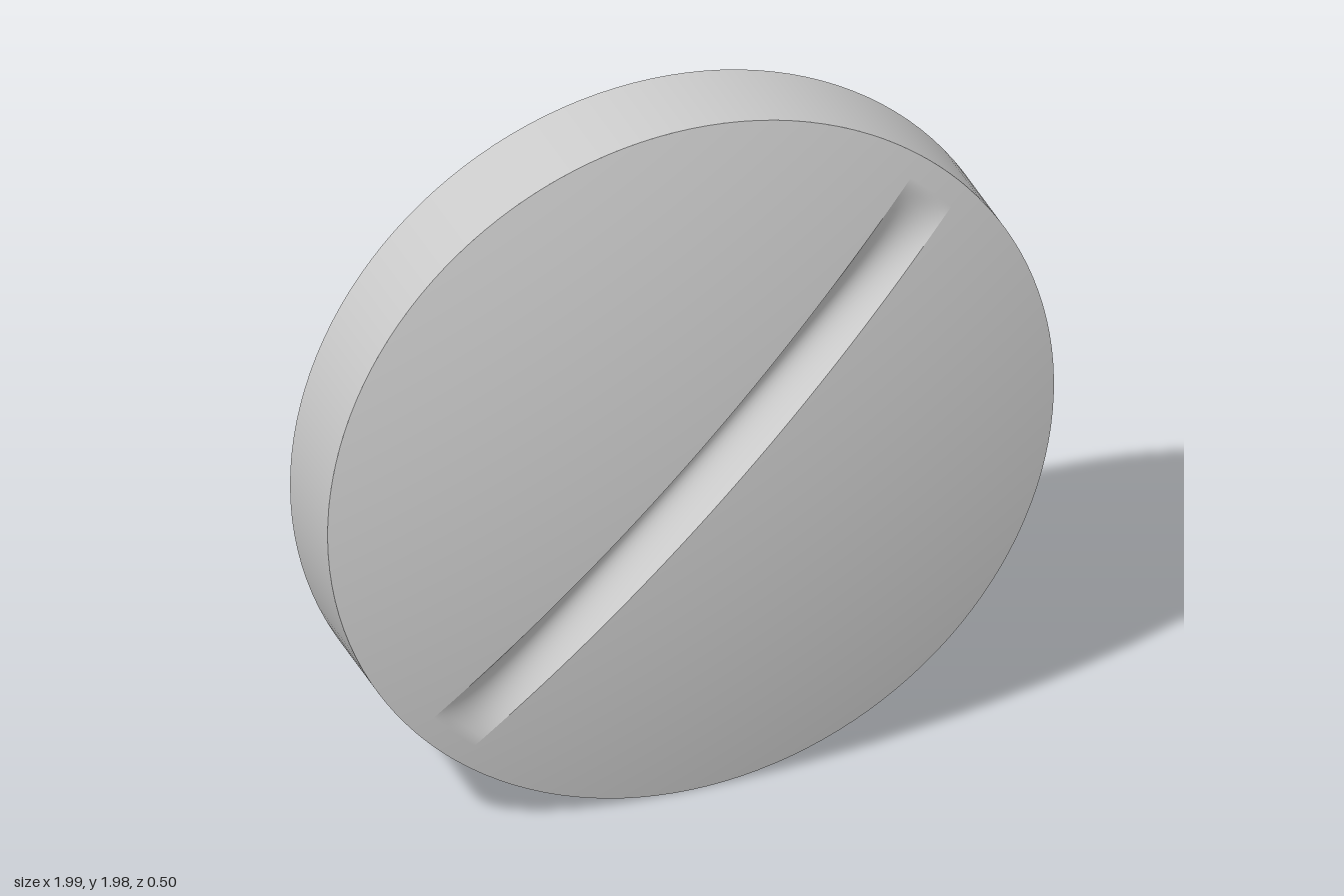
import * as THREE from 'three';
import { ParametricGeometry } from 'three/addons/geometries/ParametricGeometry.js';

const R = 0.99;            // disc radius
const HALF_EDGE = 0.13;    // half thickness of the rim
const DOME = 0.11;         // rise of each domed face
const GROOVE_HALF_W = 0.078;
const GROOVE_HALF_L = 0.925;
const GROOVE_DEPTH = 0.085;

const material = new THREE.MeshStandardMaterial({ color: 0xcccccc });

// Height of the spherical cap above the centre plane
function capHeight(x, y) {
  const sphere = (R * R + DOME * DOME) / (2 * DOME);
  return HALF_EDGE + DOME - sphere + Math.sqrt(sphere * sphere - x * x - y * y);
}

// Rounded channel, deepest in the middle and running out at both ends
function grooveDepth(x, y) {
  const along = Math.max(0, 1 - (x / GROOVE_HALF_L) ** 2);
  const across = Math.max(0, 1 - (y / GROOVE_HALF_W) ** 2);
  return GROOVE_DEPTH * along ** 0.8 * across;
}

// Slice of the domed face between two angles measured from the groove line
function faceSlice(name, from, to, rows, depth) {
  const surface = (a, b, target) => {
    const t = from + (to - from) * b;
    const x = R * Math.cos(t) * (2 * a - 1);
    const y = R * Math.sin(t);
    target.set(x, y, capHeight(x, y) - depth(x, y));
  };
  const mesh = new THREE.Mesh(new ParametricGeometry(surface, 64, rows), material);
  mesh.name = name;
  return mesh;
}

// One scored face: two smooth panels with the groove between them
function scoredFace(name) {
  const face = new THREE.Group();
  face.name = name;
  const edge = Math.asin(GROOVE_HALF_W / R);
  const tip = Math.PI / 2 - 0.001;
  const none = () => 0;
  face.add(
    faceSlice('upperPanel', edge, tip, 32, none),
    faceSlice('lowerPanel', -tip, -edge, 32, none),
    faceSlice('scoreGroove', -edge, edge, 16, grooveDepth),
  );
  return face;
}

export function createModel() {
  const tablet = new THREE.Group();
  tablet.name = 'tablet';

  // Straight outer wall
  const rim = new THREE.Mesh(
    new THREE.CylinderGeometry(R, R, HALF_EDGE * 2, 128, 1, true), material);
  rim.name = 'rim';
  rim.rotation.x = Math.PI / 2;

  // Matching domed faces, the back one turned over about the groove line
  const front = scoredFace('frontFace');
  const back = scoredFace('backFace');
  back.rotation.x = Math.PI;
  tablet.add(rim, front, back);
  tablet.rotation.z = THREE.MathUtils.degToRad(45.7);

  // Slight lean of the whole disc
  const model = new THREE.Group();
  model.name = 'scoredTablet';
  const lean = new THREE.Group();
  lean.name = 'leaningDisc';
  lean.quaternion.setFromUnitVectors(
    new THREE.Vector3(0, 0, 1), new THREE.Vector3(-0.068, -0.013, 1).normalize());
  lean.position.y = 0.993;
  lean.add(tablet);
  model.add(lean);
  return model;
}
